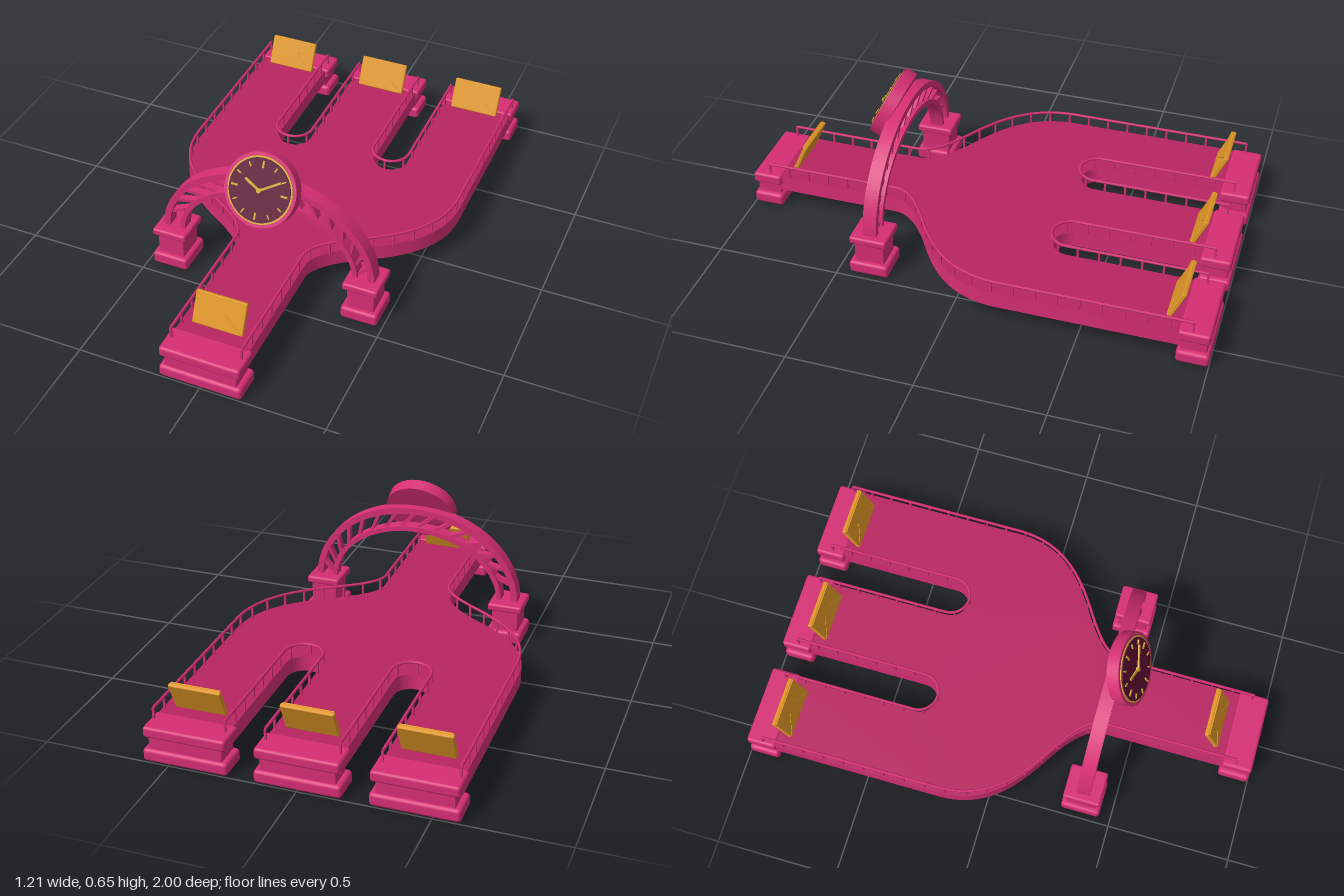
import * as THREE from 'three';
import { RoundedBoxGeometry } from 'three/addons/geometries/RoundedBoxGeometry.js';
import { toCreasedNormals } from 'three/addons/utils/BufferGeometryUtils.js';

const mat = (name, color) => {
  const m = new THREE.MeshStandardMaterial({ color });
  m.name = name;
  return m;
};

export function createModel() {
  const pink = mat('pink', 0xd62e74);
  const deckPink = mat('deckPink', 0xb82460);
  const wine = mat('wine', 0x5e1034);
  const orange = mat('orange', 0xe09626);
  const gold = mat('gold', 0xd4a936);

  const root = new THREE.Group();
  const add = (parent, name, geo, material, x = 0, y = 0, z = 0) => {
    const m = new THREE.Mesh(geo, material);
    m.name = name;
    m.position.set(x, y, z);
    parent.add(m);
    return m;
  };
  const group = (name, parent = root) => {
    const g = new THREE.Group();
    g.name = name;
    parent.add(g);
    return g;
  };
  const extrude = (shape, depth, curveSegments = 24) =>
    new THREE.ExtrudeGeometry(shape, { depth, curveSegments, bevelEnabled: false });
  // rounded slab between heights y0 and y1
  const slab = (parent, name, w, d, y0, y1, r) =>
    add(parent, name, new RoundedBoxGeometry(w, y1 - y0, d, 3, r), pink, 0, (y0 + y1) / 2, 0);

  // Plan curves in (x, z); d insets them from the deck edge
  const flank = (d, end) => {
    const p = new THREE.Path();
    p.moveTo(0.15 - d, end);
    p.lineTo(0.15 - d, 0.37);
    p.bezierCurveTo(0.16 - d, 0.3, 0.24 - d, 0.245 + d, 0.3 - d, 0.205 + d);
    p.bezierCurveTo(0.45 - d, 0.115 + d, 0.585 - d, 0.02, 0.59 - d, -0.18);
    p.lineTo(0.59 - d, -end);
    return p;
  };
  const slot = (d, end) => {
    const p = new THREE.Path();
    p.moveTo(0.29 + d, -end);
    p.lineTo(0.29 + d, -0.38);
    p.absarc(0.22, -0.38, 0.07 + d, 0, Math.PI, false);
    p.lineTo(0.15 - d, -end);
    return p;
  };

  // Deck with three prongs
  const half = [...flank(0, 0.95).getPoints(20), ...slot(0, 0.95).getPoints(20)];
  const mirrored = half.map(p => new THREE.Vector2(-p.x, p.y)).reverse();
  const deckGeo = extrude(new THREE.Shape([...half, ...mirrored]), 0.065);
  deckGeo.rotateX(Math.PI / 2);
  add(root, 'deck', toCreasedNormals(deckGeo, 0.6), [deckPink, pink], 0, 0.14, 0);

  // Railings along the flanks and around the slots
  const postGeo = new THREE.BoxGeometry(0.008, 0.06, 0.008);
  const railing = (path, side) => {
    const g = group('railing');
    const to3 = (p, y) => new THREE.Vector3(side * p.x, y, p.y);
    const line = new THREE.CurvePath();
    const pts = path.getPoints(12).map(p => to3(p, 0.19));
    for (let i = 1; i < pts.length; i++)
      if (pts[i].distanceTo(pts[i - 1]) > 1e-5) line.add(new THREE.LineCurve3(pts[i - 1], pts[i]));
    add(g, 'handrail', new THREE.TubeGeometry(line, 160, 0.006, 6), pink);
    const n = Math.round(path.getLength() / 0.085);
    for (const p of path.getSpacedPoints(n)) add(g, 'railPost', postGeo, pink, side * p.x, 0.16, p.y);
  };
  for (const side of [-1, 1]) {
    railing(flank(0.008, 0.93), side);
    railing(slot(0.008, 0.93), side);
  }

  // End piers under the stem and each prong
  for (const [x, z] of [[0, 0.937], [-0.435, -0.937], [0, -0.937], [0.435, -0.937]]) {
    const g = group('endPier');
    g.position.set(x, 0, z);
    slab(g, 'pierFoot', 0.335, 0.126, 0, 0.053, 0.015);
    slab(g, 'pierNeck', 0.29, 0.1, 0.04, 0.11, 0.004);
    slab(g, 'pierCap', 0.326, 0.122, 0.1, 0.145, 0.012);
  }

  // Arch piers
  for (const side of [-1, 1]) {
    const g = group('archPier');
    g.position.set(side * 0.403, 0, 0.373);
    slab(g, 'pierFoot', 0.15, 0.16, 0, 0.053, 0.013);
    slab(g, 'pierNeck', 0.11, 0.12, 0.04, 0.15, 0.004);
    slab(g, 'pierCap', 0.143, 0.152, 0.14, 0.172, 0.01);
  }

  // Arch: two elliptical bands joined by slanted struts
  const arch = group('arch');
  arch.position.set(0, 0.165, 0.373);
  const band = (name, a, b, t) => {
    const s = new THREE.Shape();
    s.absellipse(0, 0, a, b, 0, Math.PI, false);
    s.lineTo(t - a, 0);
    s.absellipse(0, 0, a - t, b - t, Math.PI, 0, true);
    s.closePath();
    add(arch, name, toCreasedNormals(extrude(s, 0.055, 48), 0.6), pink, 0, 0, -0.0275);
  };
  band('outerBand', 0.445, 0.367, 0.026);
  band('innerBand', 0.375, 0.283, 0.02);
  for (let i = 1; i < 16; i++) {
    const t = Math.PI * i / 16, u = Math.max(t - 0.2, 0.02);
    const ox = 0.43 * Math.cos(t), oy = 0.352 * Math.sin(t);
    const ix = 0.366 * Math.cos(u), iy = 0.274 * Math.sin(u);
    const len = Math.hypot(ox - ix, oy - iy);
    const m = add(arch, 'strut', new THREE.BoxGeometry(len, 0.013, 0.03), pink, (ox + ix) / 2, (oy + iy) / 2, 0);
    m.rotation.z = Math.atan2(oy - iy, ox - ix);
  }

  // Clock, tilted back; its local z = 0 is the front of the case
  const clock = group('clock');
  clock.position.set(0, 0.517, 0.446);
  clock.rotation.x = -0.455;
  const disc = (name, r, z0, z1, material) => {
    const geo = new THREE.CylinderGeometry(r, r, z1 - z0, 64);
    geo.rotateX(Math.PI / 2);
    return add(clock, name, geo, material, 0, 0, (z0 + z1) / 2);
  };
  disc('clockCase', 0.145, -0.05, 0, pink);
  disc('clockTrim', 0.131, -0.01, 0.003, gold);
  disc('clockFace', 0.124, -0.01, 0.006, wine);
  disc('clockHub', 0.009, 0.005, 0.018, gold);
  // bar from radius r0 to r1, at an angle clockwise from twelve
  const bar = (name, angle, r0, r1, w, z) => {
    const r = (r0 + r1) / 2;
    const m = add(clock, name, new THREE.BoxGeometry(w, r1 - r0, 0.006), gold,
      r * Math.sin(angle), r * Math.cos(angle), z);
    m.rotation.z = -angle;
  };
  for (let i = 0; i < 12; i++) {
    const main = i % 3 === 0;
    bar('hourMark', i * Math.PI / 6, main ? 0.087 : 0.095, 0.114, main ? 0.007 : 0.005, 0.008);
  }
  bar('hourHand', -1.05, 0, 0.07, 0.009, 0.011);
  bar('minuteHand', 1.02, 0, 0.095, 0.008, 0.014);

  // Envelopes leaning back on the deck ends
  const triangle = (pts, depth) => extrude(new THREE.Shape(pts.map(p => new THREE.Vector2(...p))), depth);
  const bodyGeo = new RoundedBoxGeometry(0.206, 0.13, 0.018, 3, 0.005);
  const pocketGeo = triangle([[-0.097, -0.06], [0.097, -0.06], [0, 0.02]], 0.002);
  const flapGeo = triangle([[-0.098, 0.061], [0, -0.018], [0.098, 0.061]], 0.005);
  for (const [x, z] of [[0, 0.808], [-0.437, -0.855], [0, -0.855], [0.437, -0.855]]) {
    const g = group('envelope');
    g.position.set(x, 0.212, z);
    g.rotation.x = -0.42;
    add(g, 'envelopeBody', bodyGeo, orange);
    add(g, 'envelopePocket', pocketGeo, orange, 0, 0, 0.009);
    add(g, 'envelopeFlap', flapGeo, orange, 0, 0, 0.009);
  }

  return root;
}
